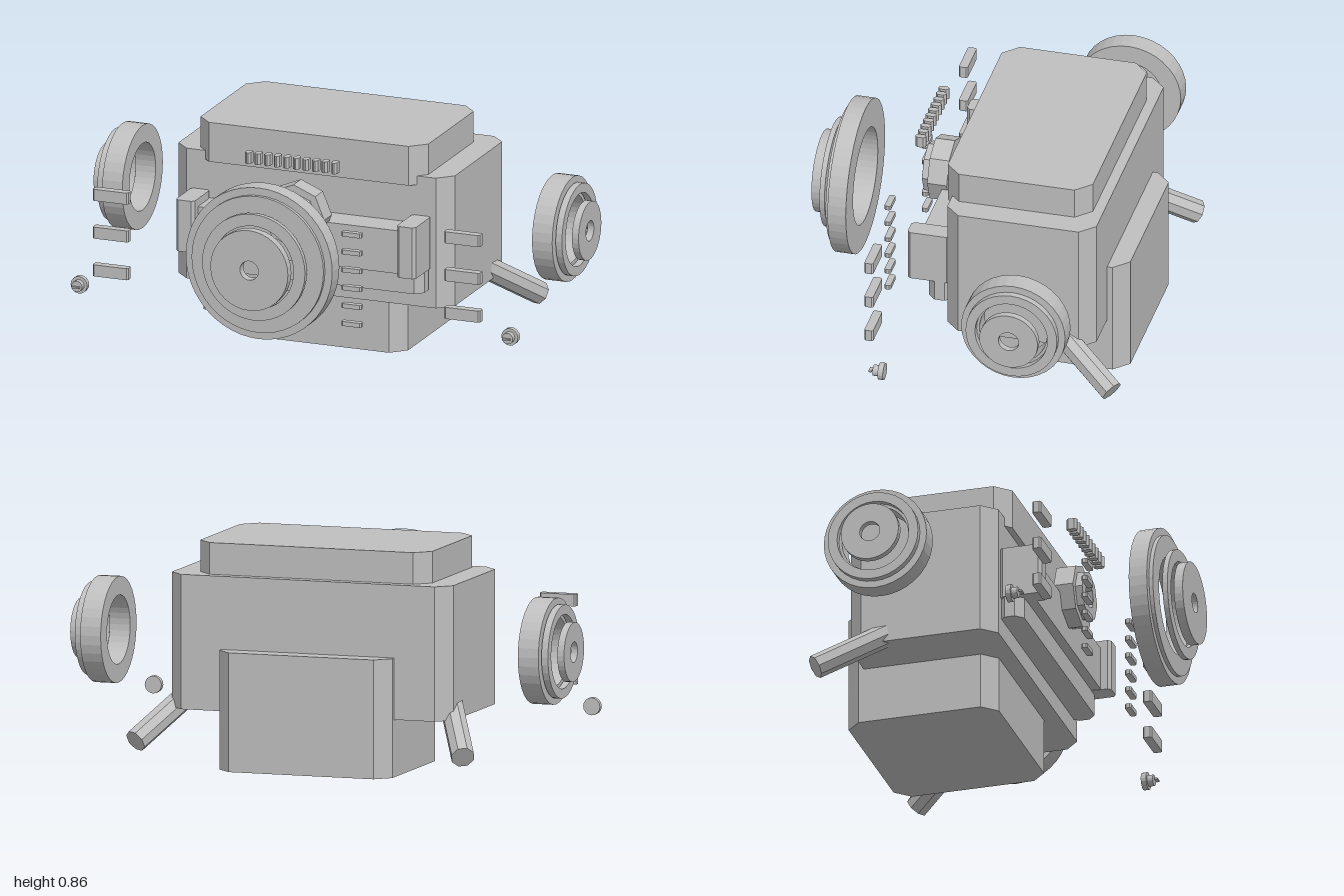
import * as THREE from 'three';

const gray = new THREE.MeshStandardMaterial({ color: 0xbfbfbf });
gray.name = 'plain light gray';

// Box with chamfered vertical corners, given by its limits on each axis
function chamferBox(name, [x0, x1], [y0, y1], [z0, z1], c) {
  const w = (x1 - x0) / 2, d = (z1 - z0) / 2;
  const shape = new THREE.Shape([
    [w, -d + c], [w, d - c], [w - c, d], [-w + c, d],
    [-w, d - c], [-w, -d + c], [-w + c, -d], [w - c, -d],
  ].map(([x, y]) => new THREE.Vector2(x, y)));
  const geo = new THREE.ExtrudeGeometry(shape, { depth: y1 - y0, bevelEnabled: false });
  geo.rotateX(-Math.PI / 2);
  geo.translate((x0 + x1) / 2, y0, (z0 + z1) / 2);
  const mesh = new THREE.Mesh(geo, gray);
  mesh.name = name;
  return mesh;
}

// Flat ring along +z from z0 to z1; solid disc when inner is 0
function ring(name, outer, inner, z0, z1, sides = 36) {
  const circle = (r) => Array.from({ length: sides }, (_, i) => {
    const a = (i / sides) * Math.PI * 2;
    return new THREE.Vector2(Math.cos(a) * r, Math.sin(a) * r);
  });
  const shape = new THREE.Shape(circle(outer));
  if (inner > 0) shape.holes.push(new THREE.Path(circle(inner)));
  const geo = new THREE.ExtrudeGeometry(shape, { depth: z1 - z0, bevelEnabled: false });
  geo.translate(0, 0, z0);
  const mesh = new THREE.Mesh(geo, gray);
  mesh.name = name;
  return mesh;
}

function group(name, ...parts) {
  const g = new THREE.Group();
  g.name = name;
  if (parts.length) g.add(...parts);
  return g;
}

export function createModel() {
  const model = group('mechanicalTorso');

  // Main blocks
  model.add(
    chamferBox('body', [-0.57, 0.57], [0.222, 0.742], [-0.545, 0.043], 0.056),
    chamferBox('lid', [-0.47, 0.47], [0.707, 0.864], [-0.505, 0.067], 0.058),
    chamferBox('lowerBox', [-0.35, 0.35], [0, 0.46], [-0.622, -0.022], 0.056),
    chamferBox('bumper', [-0.49, 0.49], [0.297, 0.5], [0.03, 0.13], 0.03),
    chamferBox('crossBar', [-0.43, 0.43], [0.383, 0.555], [0.03, 0.167], 0.005),
  );

  // Octagonal nut above the bumper
  const nut = group('nut',
    ring('nutBase', 0.127, 0.06, 0.145, 0.222, 8),
    ring('nutCollar', 0.098, 0.05, 0.222, 0.25, 8));
  nut.position.y = 0.58;
  model.add(nut);

  // Row of grille teeth
  const grille = group('grille');
  for (let i = 0; i < 10; i++) {
    const x = (i - 4.5) * 0.0395;
    grille.add(chamferBox('grilleTooth', [x - 0.012, x + 0.012], [0.779, 0.823], [0.213, 0.255], 0.009));
  }
  model.add(grille);

  // Large stepped front wheel of separated rings
  const frontWheel = group('frontWheel',
    ring('outerRing', 0.302, 0.19, 0.498, 0.57, 48),
    ring('rimRing', 0.272, 0.19, 0.57, 0.585, 48),
    ring('middleRing', 0.212, 0.165, 0.605, 0.625, 40),
    ring('hub', 0.16, 0.038, 0.635, 0.67, 36));
  frontWheel.position.y = 0.492;
  model.add(frontWheel);

  for (const s of [-1, 1]) {
    const side = group(s > 0 ? 'leftSide' : 'rightSide');
    const span = (a, b) => (s > 0 ? [a, b] : [-b, -a]);

    side.add(chamferBox('bumperPad', span(0.417, 0.494), [0.381, 0.586], [0.04, 0.207], 0.012));

    // Floating side bars
    for (const y of [0.595, 0.444, 0.293]) {
      side.add(chamferBox('sideBar', span(0.652, 0.798), [y - 0.023, y + 0.023], [0.263, 0.298], 0.006));
    }

    // Small vent slats
    for (let i = 0; i < 6; i++) {
      const y = 0.215 + i * 0.0715;
      side.add(chamferBox('ventSlat', span(0.244, 0.326), [y - 0.009, y + 0.009], [0.315, 0.34], 0.006));
    }

    // Bolt with a thin slot bar
    const slot = new THREE.Mesh(new THREE.BoxGeometry(0.03, 0.006, 0.012), gray);
    slot.name = 'boltSlot';
    slot.position.z = 0.248;
    const bolt = group('bolt',
      ring('boltHead', 0.034, 0, 0.193, 0.214, 16),
      ring('boltNeck', 0.022, 0, 0.214, 0.237, 16), slot);
    bolt.position.set(s * 0.888, 0.2, 0);
    side.add(bolt);

    // Side wheel, its axis pointing outwards
    const wheel = group('sideWheel',
      ring('sideRing', 0.205, 0.133, 0.845, 0.928),
      ring('sideRim', 0.18, 0.143, 0.932, 0.958),
      ring('sideHub', 0.115, 0.04, 0.973, 1.0));
    wheel.rotation.y = s * Math.PI / 2;
    wheel.position.set(0, 0.484, -0.323);
    side.add(wheel);

    // Slanted eight-sided peg at the back
    const top = new THREE.Vector3(s * 0.515, 0.285, -0.37);
    const tip = new THREE.Vector3(s * 0.663, 0.105, -0.643);
    const dir = top.clone().sub(tip);
    const geo = new THREE.CylinderGeometry(0.046, 0.046, dir.length(), 8).toNonIndexed();
    geo.computeVertexNormals();
    const peg = new THREE.Mesh(geo, gray);
    peg.name = 'peg';
    peg.quaternion.setFromUnitVectors(new THREE.Vector3(0, 1, 0), dir.normalize());
    peg.position.copy(top).add(tip).multiplyScalar(0.5);
    side.add(peg);

    model.add(side);
  }
  return model;
}
